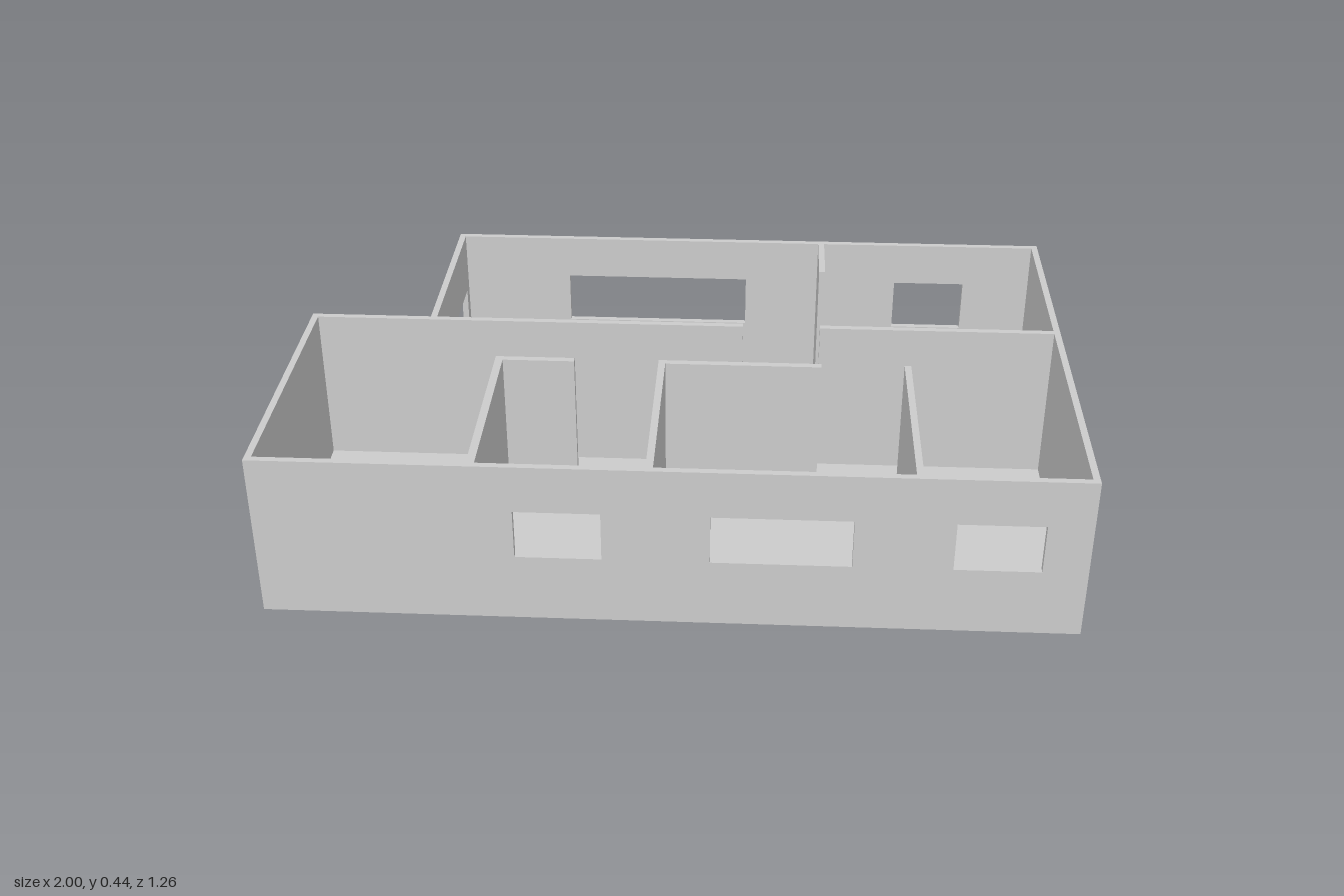
import * as THREE from 'three';

const FLOOR = 0.01, TOP = 0.435;

export function createModel() {
  const house = new THREE.Group();
  house.name = 'house';
  const material = new THREE.MeshStandardMaterial({ color: 0xcccccc });

  function add(name, geometry) {
    const mesh = new THREE.Mesh(geometry, material);
    mesh.name = name;
    house.add(mesh);
    return mesh;
  }

  // Upright slab from u0 to u1 with rectangular openings [u0, u1, y0, y1]
  function slab(u0, u1, thickness, openings) {
    const rect = (path, a, b, c, d) => path.moveTo(a, c).lineTo(b, c).lineTo(b, d).lineTo(a, d).closePath();
    const shape = rect(new THREE.Shape(), u0, u1, FLOOR, TOP);
    for (const o of openings) shape.holes.push(rect(new THREE.Path(), ...o));
    return new THREE.ExtrudeGeometry(shape, { depth: thickness, bevelEnabled: false });
  }

  // Wall running along x, between z0 and z1
  const wallAlongX = (name, x0, x1, z0, z1, openings = []) =>
    add(name, slab(x0, x1, z1 - z0, openings).translate(0, 0, z0));

  // Wall running along z, between x0 and x1
  const wallAlongZ = (name, x0, x1, z0, z1, openings = []) =>
    add(name, slab(z0, z1, x1 - x0, openings).rotateY(-Math.PI / 2).translate(x1, 0, 0));

  // L-shaped floor plate (shape y becomes -z)
  const plan = new THREE.Shape(
    [[-1, -0.63], [1, -0.63], [1, 0.63], [-0.68, 0.63], [-0.68, 0.11], [-1, 0.11]]
      .map(([x, y]) => new THREE.Vector2(x, y)));
  add('floor', new THREE.ExtrudeGeometry(plan, { depth: FLOOR, bevelEnabled: false }).rotateX(-Math.PI / 2));

  // Outer walls
  wallAlongX('frontWall', -1, 1, 0.613, 0.63, [
    [-0.37, -0.16, 0.18, 0.31], [0.10, 0.44, 0.18, 0.31], [0.68, 0.89, 0.18, 0.31]]);
  wallAlongX('backWall', -0.68, 1, -0.63, -0.613, [
    [-0.36, 0.16, 0.17, 0.315], [0.595, 0.795, 0.17, 0.315]]);
  wallAlongZ('leftWall', 0.983, 1, -0.613, 0.613);
  wallAlongZ('rightFrontWall', -1, -0.983, -0.093, 0.613);
  wallAlongZ('rightBackWall', -0.68, -0.663, -0.613, -0.11, [[-0.58, -0.19, 0.012, 0.275]]);

  // Middle wall, split by a passage
  wallAlongX('middleWallRight', -1, 0.16, -0.11, -0.093);
  wallAlongX('middleWallLeft', 0.365, 0.983, -0.11, -0.093);

  // Room partitions
  wallAlongZ('partitionRight', -0.475, -0.455, 0.1, 0.613);
  wallAlongX('corridorWallRight', -0.455, -0.27, 0.1, 0.118);
  wallAlongZ('partitionMiddle', -0.053, -0.035, 0.1, 0.613);
  wallAlongX('corridorWallMiddle', -0.035, 0.365, 0.1, 0.118);
  wallAlongZ('partitionLeft', 0.578, 0.595, 0.1, 0.613);
  wallAlongZ('partitionBack', 0.368, 0.385, -0.613, -0.43);

  return house;
}
